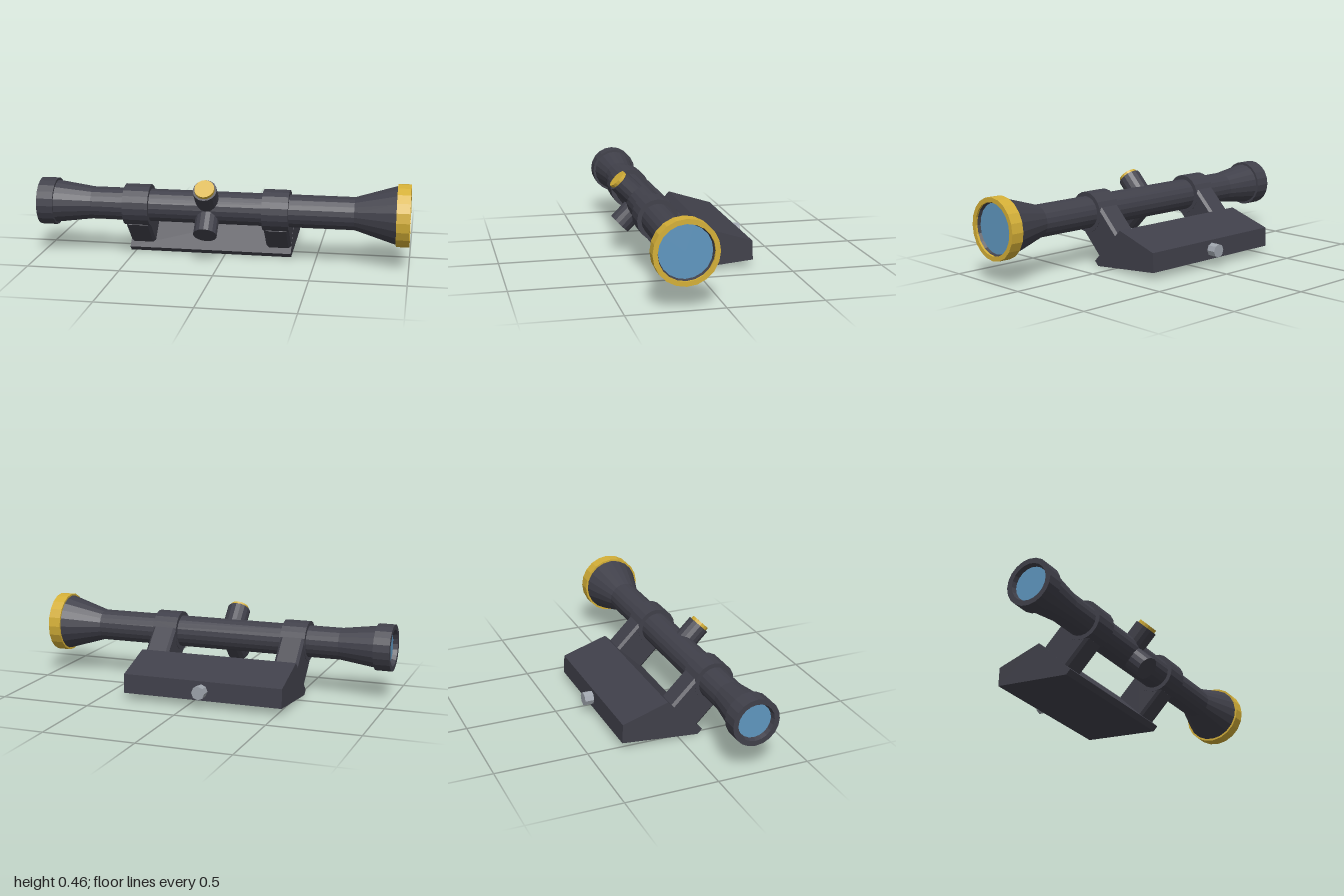
import * as THREE from 'three';

const flat = (name, color) => new THREE.MeshStandardMaterial({ name, color, flatShading: true });

export function createModel() {
  const dark = flat('dark metal', 0x40404a);
  const gold = flat('gold', 0xd4af37);
  const glass = flat('blue glass', 0x5f97c0);
  const steel = flat('steel', 0x9da3ab);

  const model = new THREE.Group();
  model.name = 'scopeOnMount';

  // Everything in the scope group is placed around the tube axis
  const scope = new THREE.Group();
  scope.name = 'scope';
  scope.position.set(0, 0.286, 0.198);
  model.add(scope);

  const add = (parent, name, geometry, material, x = 0, y = 0, z = 0) => {
    const mesh = new THREE.Mesh(geometry, material);
    mesh.name = name;
    mesh.position.set(x, y, z);
    parent.add(mesh);
    return mesh;
  };

  // Turned part along x from [radius, x] pairs
  const turned = (points) =>
    new THREE.LatheGeometry(points.map(([r, h]) => new THREE.Vector2(r, h)), 20).rotateZ(-Math.PI / 2);

  // Group whose local +y points away from the tube axis at an angle about x
  const arm = (name, x, degrees) => {
    const group = new THREE.Group();
    group.name = name;
    group.position.x = x;
    group.rotation.x = THREE.MathUtils.degToRad(degrees);
    scope.add(group);
    return group;
  };

  // Tube with eyepiece collar, taper and front flare
  add(scope, 'tube', turned([
    [0.092, -0.975], [0.1, -1], [0.128, -1], [0.128, -0.91], [0.115, -0.91],
    [0.0875, -0.71], [0.0875, 0.71], [0.155, 0.93], [0.155, 0.94],
  ]), dark);

  // Gold front ring, dark inner rim and both lenses
  add(scope, 'frontRing', turned([
    [0.141, 0.93], [0.166, 0.93], [0.166, 1], [0.141, 1], [0.141, 0.93],
  ]), gold);
  add(scope, 'frontRim', turned([[0.141, 0.988], [0.135, 0.972]]), dark);
  add(scope, 'frontLens', new THREE.CircleGeometry(0.135, 20).rotateY(Math.PI / 2), glass, 0.972);
  add(scope, 'eyeLens', new THREE.CircleGeometry(0.092, 20).rotateY(-Math.PI / 2), glass, -0.975);

  // Two clamp rings with chamfered feet reaching down to the base
  const w = 0.068, h = 0.103, c = 0.014;
  const section = new THREE.Shape([
    [w, h - c], [w - c, h], [c - w, h], [-w, h - c],
    [-w, c - h], [c - w, -h], [w - c, -h], [w, c - h],
  ].map(([x, y]) => new THREE.Vector2(x, y)));
  for (const x of [-0.459, 0.295]) {
    add(scope, 'clampRing', new THREE.CylinderGeometry(0.111, 0.111, 0.14, 20).rotateZ(-Math.PI / 2), dark, x);
    const foot = new THREE.ExtrudeGeometry(section, { depth: 0.185, bevelEnabled: false });
    add(arm('clampFoot', x, -135), 'footBlock', foot.rotateX(-Math.PI / 2), dark, 0, 0.05, 0);
  }

  // Adjustment turrets: the upper one carries a gold cap
  for (const [name, angle] of [['upperTurret', 45], ['lowerTurret', 135]]) {
    const turret = arm(name, -0.073, angle);
    add(turret, 'turretBody', new THREE.CylinderGeometry(0.064, 0.064, 0.133, 16), dark, 0, 0.1065, 0);
    if (angle === 45) {
      add(turret, 'turretCap', new THREE.CylinderGeometry(0.053, 0.053, 0.03, 16), gold, 0, 0.176, 0);
    }
  }

  // Wedge base, profile given as [z, y] and extruded along x
  const profile = new THREE.Shape([
    [0.108, 0], [0.133, 0.025], [-0.065, 0.223], [-0.316, 0.143], [-0.32, 0.038],
  ].map(([z, y]) => new THREE.Vector2(-z, y)));
  const base = new THREE.ExtrudeGeometry(profile, { depth: 0.893, bevelEnabled: false });
  add(model, 'mountBase', base.rotateY(Math.PI / 2), dark, -0.529, 0, 0);

  // Clamping screw on the back of the base
  add(model, 'screw', new THREE.CylinderGeometry(0.037, 0.037, 0.054, 8).rotateX(Math.PI / 2), steel, -0.082, 0.09, -0.341);

  return model;
}
